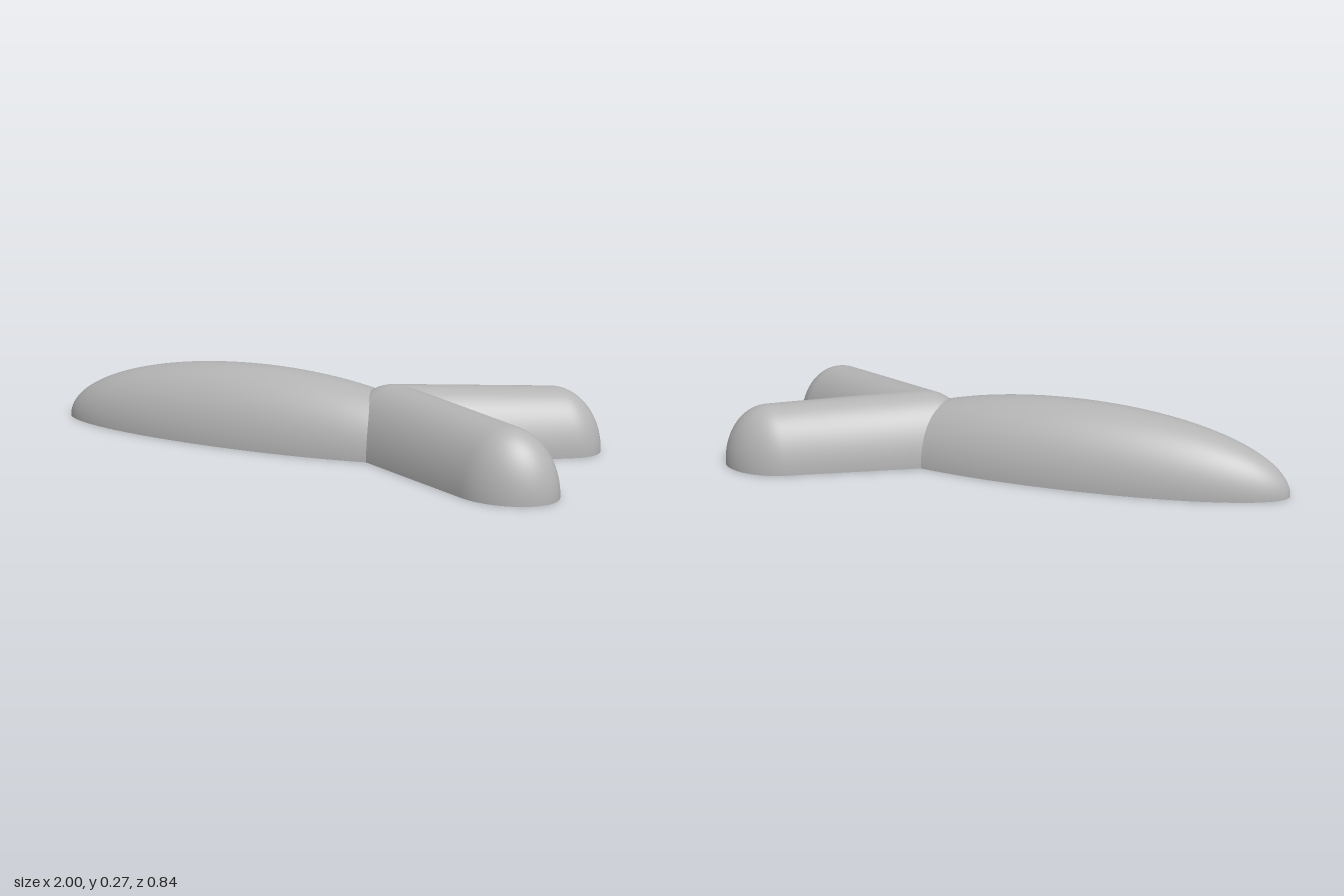
import * as THREE from 'three';

// Body: half ellipsoid lying along x
const BODY = { x: -0.2, a: 0.8, b: 0.2, h: 0.267 };
// Legs: tapered capsules, laid out round and then squashed by SQUASH
const SQUASH = { y: 1.24, z: 0.74 };
const LEG = { x: 0.34, r0: 0.197, r1: 0.18, length: 0.619, angle: 0.682 };
const TANGENT = Math.acos((LEG.r0 - LEG.r1) / LEG.length);
const JOINT_X = 0.288;

// Upper half of a solid of revolution about x
function halfLathe(profile, segments) {
  return new THREE.LatheGeometry(profile, segments, Math.PI, Math.PI).rotateZ(-Math.PI / 2);
}

// Drops the triangles whose three corners are all buried
function trim(geometry, buried) {
  const p = geometry.attributes.position;
  const index = geometry.index.array;
  const kept = [];
  for (let i = 0; i < index.length; i += 3) {
    const tri = [index[i], index[i + 1], index[i + 2]];
    if (!tri.every((k) => buried(p.getX(k), p.getY(k), p.getZ(k)))) kept.push(...tri);
  }
  geometry.setIndex(kept);
  return geometry;
}

function bodyGeometry() {
  const profile = [];
  const end = Math.acos((0.3 - BODY.x) / BODY.a);
  for (let i = 0; i <= 48; i++) {
    const t = Math.PI + (end - Math.PI) * (i / 48);
    profile.push(new THREE.Vector2(Math.max(0, BODY.b * Math.sin(t)), BODY.x + BODY.a * Math.cos(t)));
  }
  return halfLathe(profile, 48).scale(1, BODY.h / BODY.b, 1);
}

function legGeometry(side) {
  const profile = [];
  const arc = (centre, r, from, to) => {
    for (let i = 0; i <= 24; i++) {
      const t = from + (to - from) * (i / 24);
      profile.push(new THREE.Vector2(Math.max(0, r * Math.sin(t)), centre + r * Math.cos(t)));
    }
  };
  arc(0, LEG.r0, Math.PI, TANGENT);
  const start = profile[profile.length - 1];
  const end = new THREE.Vector2(LEG.r1 * Math.sin(TANGENT), LEG.length + LEG.r1 * Math.cos(TANGENT));
  for (let i = 1; i < 40; i++) profile.push(start.clone().lerp(end, i / 40));
  arc(LEG.length, LEG.r1, TANGENT, 0);

  const geometry = halfLathe(profile, 64)
    .rotateY(-side * LEG.angle)
    .scale(1, SQUASH.y, SQUASH.z)
    .translate(LEG.x, 0, 0);
  return trim(geometry, (x, y, z) => {
    const inBody = ((x - BODY.x) / BODY.a) ** 2 + (y / BODY.h) ** 2 + (z / BODY.b) ** 2 < 1 && x < 0.295;
    return inBody || z * side < 0;
  });
}

// Flat underside following the outline of body and legs
function baseGeometry() {
  const half = [];
  half.push(new THREE.Vector2(LEG.x + LEG.r0 / Math.cos(LEG.angle - TANGENT), 0));
  const tipX = LEG.x + LEG.length * Math.cos(LEG.angle);
  const tipZ = LEG.length * Math.sin(LEG.angle);
  for (let i = 0; i <= 32; i++) {
    const t = LEG.angle + TANGENT * (i / 16 - 1);
    half.push(new THREE.Vector2(tipX + LEG.r1 * Math.cos(t), SQUASH.z * (tipZ + LEG.r1 * Math.sin(t))));
  }
  const joint = Math.acos((JOINT_X - BODY.x) / BODY.a);
  for (let i = 0; i <= 48; i++) {
    const t = joint + (Math.PI - joint) * (i / 48);
    half.push(new THREE.Vector2(BODY.x + BODY.a * Math.cos(t), BODY.b * Math.sin(t)));
  }
  const mirrored = half.slice(1, -1).reverse().map((p) => new THREE.Vector2(p.x, -p.y));
  return new THREE.ShapeGeometry(new THREE.Shape([...half, ...mirrored])).rotateX(Math.PI / 2);
}

export function createModel() {
  const group = new THREE.Group();
  group.name = 'forkedBody';
  const grey = new THREE.MeshStandardMaterial({ color: 0xb4b4b4 });
  grey.name = 'grey';

  const add = (name, geometry) => {
    const mesh = new THREE.Mesh(geometry, grey);
    mesh.name = name;
    group.add(mesh);
  };
  add('body', bodyGeometry());
  add('frontLeg', legGeometry(1));
  add('backLeg', legGeometry(-1));
  add('underside', baseGeometry());
  return group;
}
